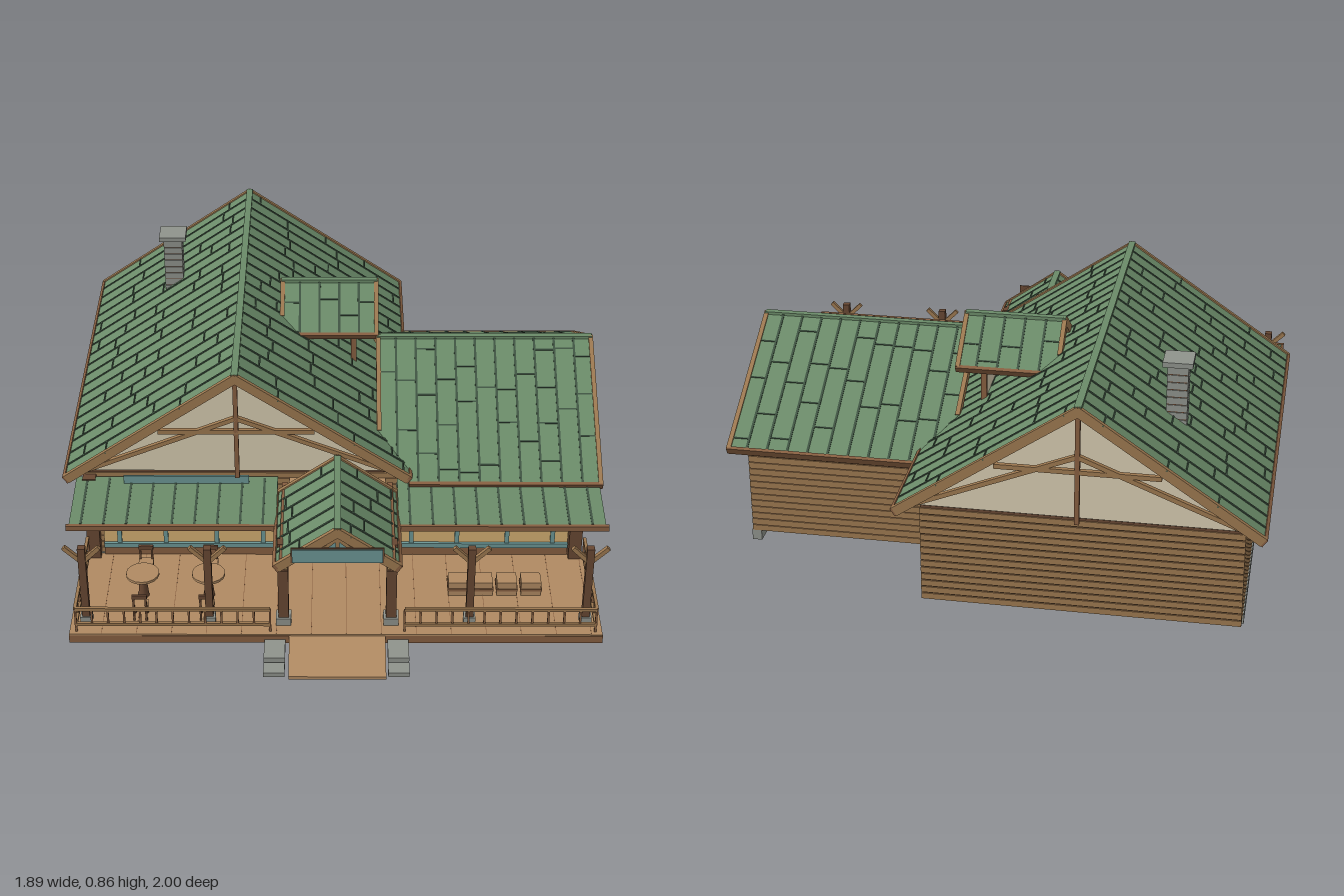
import * as THREE from 'three';
import { mergeGeometries } from 'three/addons/utils/BufferGeometryUtils.js';

const mat = (name, color) => new THREE.MeshStandardMaterial({ name, color });

export function createModel() {
  const root = new THREE.Group();
  root.name = 'cabin';
  const M = {
    green: mat('roof green', 0x6b8b69), groove: mat('roof groove', 0x3f5342),
    log: mat('log brown', 0x9c7850), trim: mat('trim brown', 0x875f41),
    dark: mat('dark timber', 0x674732), cream: mat('gable cream', 0xd6cbb0),
    glow: mat('window glow', 0xd3ae72), tan: mat('deck tan', 0xb08a62),
    teal: mat('teal paint', 0x6c9795), stone: mat('stone grey', 0x8f938c),
  };
  let seed = 7;
  const rnd = () => (seed = (seed * 16807) % 2147483647) / 2147483647;

  const add = (parent, name, geo, m) => {
    const mesh = new THREE.Mesh(geo, m);
    mesh.name = name;
    parent.add(mesh);
    return mesh;
  };
  // box from min / max corners
  const boxGeo = (x0, x1, y0, y1, z0, z1) =>
    new THREE.BoxGeometry(x1 - x0, y1 - y0, z1 - z0).translate((x0 + x1) / 2, (y0 + y1) / 2, (z0 + z1) / 2);
  const box = (name, m, ...c) => add(root, name, boxGeo(...c), m);
  // square beam between two points
  const beamGeo = (a, b, w) => {
    const p = new THREE.Vector3(...a), q = new THREE.Vector3(...b), d = q.clone().sub(p), len = d.length();
    const rot = new THREE.Quaternion().setFromUnitVectors(new THREE.Vector3(0, 1, 0), d.normalize());
    const mid = p.add(q).multiplyScalar(0.5);
    return new THREE.BoxGeometry(w, len, w).applyQuaternion(rot).translate(mid.x, mid.y, mid.z);
  };
  const beams = (parent, name, m, list, w) =>
    add(parent, name, mergeGeometries(list.map(([a, b]) => beamGeo(a, b, w))), m);

  // Gable roof: ridge on local z from 0 to L, apex at y = 0.
  // clip = { fa, fb, du }: start edge moves in by du between slope fractions fa and fb.
  function gableRoof(name, L, w, h, clip, pitch = 0.074) {
    const g = new THREE.Group();
    g.name = name;
    root.add(g);
    const S = Math.hypot(w, h), t = 0.018, k = 0.008, j = 0.005;
    const maxF = u => !clip || u >= clip.du ? 1 : clip.fa + (u / clip.du) * (clip.fb - clip.fa);
    for (const d of [1, -1]) {
      const side = new THREE.Group();
      side.name = 'roofSlope';
      side.rotation.z = -d * Math.atan2(h, w);
      g.add(side);
      const a = 0.004, z = L - 0.004; // boards stop just inside the rake boards
      const pts = clip
        ? [[0, a], [clip.fa, a], [clip.fb, clip.du], [1, clip.du], [1, z], [0, z]]
        : [[0, a], [1, a], [1, z], [0, z]];
      const shape = new THREE.Shape(pts.map(([f, u]) => new THREE.Vector2(d * f * S, u)));
      add(side, 'roofBoards', new THREE.ExtrudeGeometry(shape, { depth: t, bevelEnabled: false }).rotateX(Math.PI / 2), M.green);
      // board seams and staggered joints
      const lines = [];
      const strip = (s0, s1, u0, u1) =>
        lines.push(boxGeo(Math.min(d * s0, d * s1), Math.max(d * s0, d * s1), -0.002, 0.003, u0, u1));
      const n = Math.round(L / pitch), p = L / n;
      for (let i = 0; i < n; i++) {
        const u = i * p;
        if (i) strip(0, S * maxF(u), u - k / 2, u + k / 2);
        for (let s = 0.05 + rnd() * 0.18; s < S * maxF(u) - 0.03; s += 0.13 + rnd() * 0.2) strip(s, s + j, u, u + p);
      }
      add(side, 'roofSeams', mergeGeometries(lines), M.groove);
      // rake and eave boards
      const e = 0.016, u0 = clip ? clip.du : 0, sA = S * (clip ? clip.fa : 1);
      const edge = [boxGeo(-S / 2, S / 2, -0.028, 0.005, L - e, L).translate(d * S / 2, 0, 0),
        boxGeo(-sA / 2, sA / 2, -0.028, 0.005, 0, e).translate(d * sA / 2, 0, 0)];
      add(side, 'rakeBoards', mergeGeometries(edge), M.log);
      add(side, 'eaveBoard', boxGeo(-0.006, 0.006, -0.026, 0.004, u0, L).translate(d * S, 0, 0), M.trim);
    }
    add(g, 'ridgeCap', boxGeo(-0.012, 0.012, -0.016, 0.004, 0.004, L - 0.004), M.green);
    return g;
  }
  // Cream gable panel at zc, timber truss at zt, in the roof's local frame
  function gableEnd(g, w, h, zc, zt, b = 0.016, scissor = true) {
    const tri = new THREE.Shape([[-w * 0.97, -h], [w * 0.97, -h], [0, -0.022]].map(p => new THREE.Vector2(...p)));
    add(g, 'gablePanel', new THREE.ExtrudeGeometry(tri, { depth: 0.012, bevelEnabled: false }).translate(0, 0, zc - 0.006), M.cream);
    beams(g, 'kingPost', M.trim, [[[0, -0.02, zt], [0, -h, zt]]], b);
    const list = [[[-w * 0.45, -h * 0.55, zt], [w * 0.45, -h * 0.55, zt]]];
    if (scissor) for (const d of [1, -1]) list.push([[d * w * 0.95, -h * 0.97, zt], [0, -h * 0.42, zt]]);
    beams(g, 'gableTruss', M.log, list, b);
  }

  // Main roof
  const main = gableRoof('mainRoof', 1.43, 0.605, 0.415);
  main.position.set(-0.34, 0.847, -1);
  gableEnd(main, 0.6, 0.42, 1.37, 1.415);
  gableEnd(main, 0.6, 0.42, 0.06, 0.015);
  // Wing roof
  const wing = gableRoof('wingRoof', 0.79, 0.53, 0.29, { fa: 0.65, fb: 0.91, du: 0.11 });
  wing.rotation.y = Math.PI / 2;
  wing.position.set(0.15, 0.698, -0.1);
  gableEnd(wing, 0.52, 0.29, 0.735, 0.775);
  // Dormer
  const dormer = gableRoof('dormerRoof', 0.36, 0.18, 0.13, { fa: 0.665, fb: 1, du: 0.063 });
  dormer.rotation.y = Math.PI / 2;
  dormer.position.set(-0.2, 0.832, -0.28);
  gableEnd(dormer, 0.17, 0.12, 0.27, 0.345, 0.012, false);
  box('dormerWall', M.cream, 0.062, 0.076, 0.55, 0.73, -0.405, -0.155);
  for (const z of [-0.405, -0.155]) box('dormerPost', M.trim, 0.06, 0.08, 0.54, 0.72, z - 0.007, z + 0.007);
  // Entry roof
  const entry = gableRoof('entryRoof', 0.44, 0.21, 0.15, null, 0.07);
  entry.position.set(0.01, 0.526, 0.43);
  beams(entry, 'entryTruss', M.log, [
    [[0, 0, 0.43], [0, -0.12, 0.43]], [[-0.17, -0.13, 0.42], [0.17, -0.13, 0.42]],
    [[-0.09, -0.12, 0.43], [0, -0.04, 0.43]], [[0.09, -0.12, 0.43], [0, -0.04, 0.43]]], 0.012);
  box('entryBoardFrame', M.dark, -0.145, 0.165, 0.393, 0.453, 0.868, 0.872);
  box('entryBoard', M.teal, -0.141, 0.161, 0.397, 0.449, 0.87, 0.878);

  // Log walls, hollow inside; a stone footing runs along len (0 = none) from the front end
  function logWall(x0, x1, z0, z1, len) {
    const c = 0.004, logs = [], stones = [], alongX = x1 - x0 > z1 - z0;
    box('wallCore', M.dark, x0 + c, x1 - c, 0.06, 0.415, z0 + c, z1 - c);
    for (let y = 0.06; y < 0.405; y += 0.025) logs.push(boxGeo(x0, x1, y, y + 0.021, z0, z1));
    add(root, 'wallLogs', mergeGeometries(logs), M.log);
    if (!len) return;
    const n = Math.round(len / 0.08), p = len / n;
    for (let i = 0; i < n; i++) {
      const a = i * p + 0.003, b = a + p - 0.006;
      stones.push(alongX ? boxGeo(x0 + a, x0 + b, 0.02, 0.06, z0 - 0.004, z1 + 0.004)
        : boxGeo(x0 - 0.004, x1 + 0.004, 0.02, 0.06, z1 - b, z1 - a));
    }
    add(root, 'footingStones', mergeGeometries(stones), M.stone);
  }
  const T = 0.026;
  logWall(-0.88, -0.88 + T, -0.93, 0.36, 1.21);
  logWall(0.19 - T, 0.19, -0.93, 0.36, 1.21);
  logWall(0.88 - T, 0.88, -0.58, 0.36, 0.94);
  logWall(-0.88, 0.19, -0.93, -0.93 + T, 0);
  logWall(0.19, 0.88, -0.58, -0.58 + T, 0);
  logWall(-0.88, 0.88, 0.36 - T, 0.36, 1.76);

  // Shop-front windows with the room boxes behind them
  for (const [x0, x1] of [[-0.83, -0.2], [0.22, 0.84]]) {
    box('windowRoom', M.tan, x0 + 0.03, x1 - 0.03, 0.08, 0.37, 0.08, 0.334);
    box('windowPane', M.glow, x0, x1, 0.1, 0.36, 0.36, 0.366);
    box('windowSill', M.teal, x0, x1, 0.092, 0.11, 0.36, 0.378);
    box('windowBase', M.trim, x0, x1, 0.055, 0.095, 0.36, 0.37);
    box('windowHead', M.teal, x0, x1, 0.352, 0.366, 0.36, 0.376);
    for (const f of [0.09, 0.355, 0.645, 0.91]) {
      const x = x0 + f * (x1 - x0);
      box('windowMullion', M.teal, x - 0.008, x + 0.008, 0.1, 0.355, 0.36, 0.374);
    }
  }
  for (const x of [-0.865, 0.865]) box('cornerPost', M.dark, x - 0.023, x + 0.023, 0.05, 0.4, 0.345, 0.395);
  box('wallBoard', M.teal, -0.74, -0.3, 0.392, 0.424, 0.4, 0.409);

  // Entrance with arched door
  box('entryWall', M.tan, -0.16, 0.18, 0.055, 0.385, 0.36, 0.4);
  const arch = (name, m, r, y0, y1, z) => {
    const s = new THREE.Shape();
    s.moveTo(-r, y0).lineTo(r, y0).lineTo(r, y1).absarc(0, y1, r, 0, Math.PI).lineTo(-r, y0);
    add(root, name, new THREE.ExtrudeGeometry(s, { depth: 0.007, bevelEnabled: false }).translate(0.01, 0, z), m);
  };
  arch('doorSurround', M.dark, 0.088, 0.055, 0.245, 0.4);
  arch('doorFrame', M.teal, 0.08, 0.055, 0.245, 0.405);
  arch('doorLeafGap', M.dark, 0.067, 0.06, 0.245, 0.41);
  arch('doorLeaf', M.teal, 0.063, 0.062, 0.245, 0.414);
  arch('doorWindow', M.glow, 0.056, 0.215, 0.245, 0.418);
  box('doorHandle', M.dark, 0.05, 0.058, 0.15, 0.18, 0.42, 0.43);

  // Porch deck with plank seams, ramp and side steps
  box('porchDeck', M.trim, -0.91, 0.92, 0.02, 0.05, 0.36, 0.83);
  box('deckBoards', M.tan, -0.909, 0.919, 0.05, 0.056, 0.36, 0.829);
  box('deckUnderside', M.dark, -0.9, 0.91, 0.016, 0.02, 0.365, 0.825);
  for (let x = -0.8; x < 0.9; x += 0.12) box('deckSeam', M.trim, x, x + 0.002, 0.055, 0.057, 0.37, 0.826);
  const ramp = new THREE.Shape([[0.83, 0.05], [1, 0.012], [1, 0], [0.83, 0.02]].map(p => new THREE.Vector2(...p)));
  add(root, 'entryRamp', new THREE.ExtrudeGeometry(ramp, { depth: 0.33, bevelEnabled: false })
    .rotateY(-Math.PI / 2).translate(0.175, 0, 0), M.tan);
  for (const x of [-0.24, 0.182]) {
    box('stoneStep', M.stone, x, x + 0.072, 0.01, 0.035, 0.83, 0.93);
    box('stoneStep', M.stone, x, x + 0.072, 0.002, 0.02, 0.935, 0.99);
  }

  // Porch roof on both sides of the entry
  for (const [x0, x1] of [[-0.91, -0.2], [0.22, 0.93]]) {
    const slope = new THREE.Shape([[0.37, 0.397], [0.64, 0.376], [0.64, 0.366], [0.37, 0.385]].map(p => new THREE.Vector2(...p)));
    add(root, 'porchRoof', new THREE.ExtrudeGeometry(slope, { depth: x1 - x0, bevelEnabled: false })
      .rotateY(-Math.PI / 2).translate(x1, 0, 0), M.green);
    const seams = [];
    for (let x = x0 + 0.04; x < x1; x += 0.078) seams.push([[x, 0.394, 0.38], [x, 0.3745, 0.63]]);
    beams(root, 'porchRoofSeams', M.groove, seams, 0.008);
    box('porchBeam', M.trim, x0 - 0.01, x1 + 0.01, 0.358, 0.378, 0.632, 0.645);
  }

  // Posts with forked braces
  for (const x of [-0.855, -0.43, 0.465, 0.865]) {
    box('postFoot', M.stone, x - 0.02, x + 0.02, 0.055, 0.085, 0.735, 0.775);
    beams(root, 'porchPost', M.dark, [[[x, 0.055, 0.755], [x, 0.37, 0.755]]], 0.026);
    beams(root, 'postBraces', M.log, [-1, 1].map(d => [[x, 0.31, 0.755], [x + d * 0.06, 0.37, 0.755]]), 0.015);
  }
  for (const x of [-0.175, 0.195]) {
    box('entryPost', M.dark, x - 0.018, x + 0.018, 0.055, 0.395, 0.737, 0.773);
    box('entryPostFoot', M.stone, x - 0.026, x + 0.026, 0.055, 0.085, 0.729, 0.781);
    beams(root, 'entryBeam', M.trim, [[[x, 0.385, 0.4], [x, 0.385, 0.86]]], 0.018);
  }

  // Railings
  function railing(a, b) {
    const at = (f, y) => [a[0] + (b[0] - a[0]) * f, y, a[1] + (b[1] - a[1]) * f];
    const n = Math.round(Math.hypot(b[0] - a[0], b[1] - a[1]) / 0.055), bars = [];
    beams(root, 'railing', M.log, [0.15, 0.086].map(y => [at(0, y), at(1, y)]), 0.011);
    for (let i = 0; i <= n; i++) bars.push([at(i / n, i % n ? 0.086 : 0.056), at(i / n, 0.15)]);
    beams(root, 'balusters', M.trim, bars, 0.007);
  }
  railing([-0.885, 0.81], [-0.22, 0.81]);
  railing([0.24, 0.81], [0.895, 0.81]);
  for (const x of [-0.885, 0.895]) railing([x, 0.4], [x, 0.81]);

  // Lanterns
  for (const [x, z] of [[-0.73, 0.44], [0.75, 0.44], [-0.17, 0.79], [0.19, 0.79]]) {
    box('lanternGlass', M.glow, x - 0.011, x + 0.011, 0.312, 0.34, z - 0.011, z + 0.011);
    box('lanternCap', M.dark, x - 0.015, x + 0.015, 0.34, 0.347, z - 0.015, z + 0.015);
    box('lanternBase', M.dark, x - 0.014, x + 0.014, 0.306, 0.312, z - 0.014, z + 0.014);
    box('lanternRod', M.dark, x - 0.003, x + 0.003, 0.345, 0.385, z - 0.003, z + 0.003);
  }

  // Tables, chairs and crates on the porch
  for (const x of [-0.67, -0.44]) {
    add(root, 'tableTop', new THREE.CylinderGeometry(0.058, 0.058, 0.01, 16).translate(x, 0.15, 0.61), M.tan);
    add(root, 'tableLeg', new THREE.CylinderGeometry(0.01, 0.02, 0.095, 8).translate(x, 0.1, 0.61), M.dark);
    for (const d of [-1, 1]) {
      const z = 0.61 + d * 0.12;
      box('chairSeat', M.tan, x - 0.026, x + 0.026, 0.1, 0.11, z - 0.026, z + 0.026);
      box('chairBack', M.dark, x - 0.026, x + 0.026, 0.15, 0.166, z + d * 0.024 - 0.004, z + d * 0.024 + 0.004);
      const legs = [];
      for (const i of [-1, 1]) for (const j of [-1, 1])
        legs.push([[x + i * 0.021, 0.056, z + j * 0.021], [x + i * 0.021, j === d ? 0.165 : 0.105, z + j * 0.021]]);
      beams(root, 'chairLegs', M.dark, legs, 0.007);
    }
  }
  for (let i = 0; i < 4; i++) {
    const x = 0.4 + i * 0.085;
    box('crate', M.tan, x, x + 0.07, 0.056, 0.11, 0.55, 0.61);
    box('crateBand', M.trim, x - 0.003, x + 0.073, 0.075, 0.085, 0.547, 0.613);
  }

  // Chimney of stone courses
  box('chimneyCore', M.dark, -0.65, -0.586, 0.6, 0.845, -0.632, -0.568);
  for (let i = 0; i < 9; i++) {
    const y = 0.6 + i * 0.027;
    box('chimneyCourse', M.stone, -0.653, -0.583, y, y + 0.023, -0.635, -0.565);
  }
  box('chimneyCap', M.stone, -0.668, -0.568, 0.845, 0.863, -0.65, -0.55);

  return root;
}
